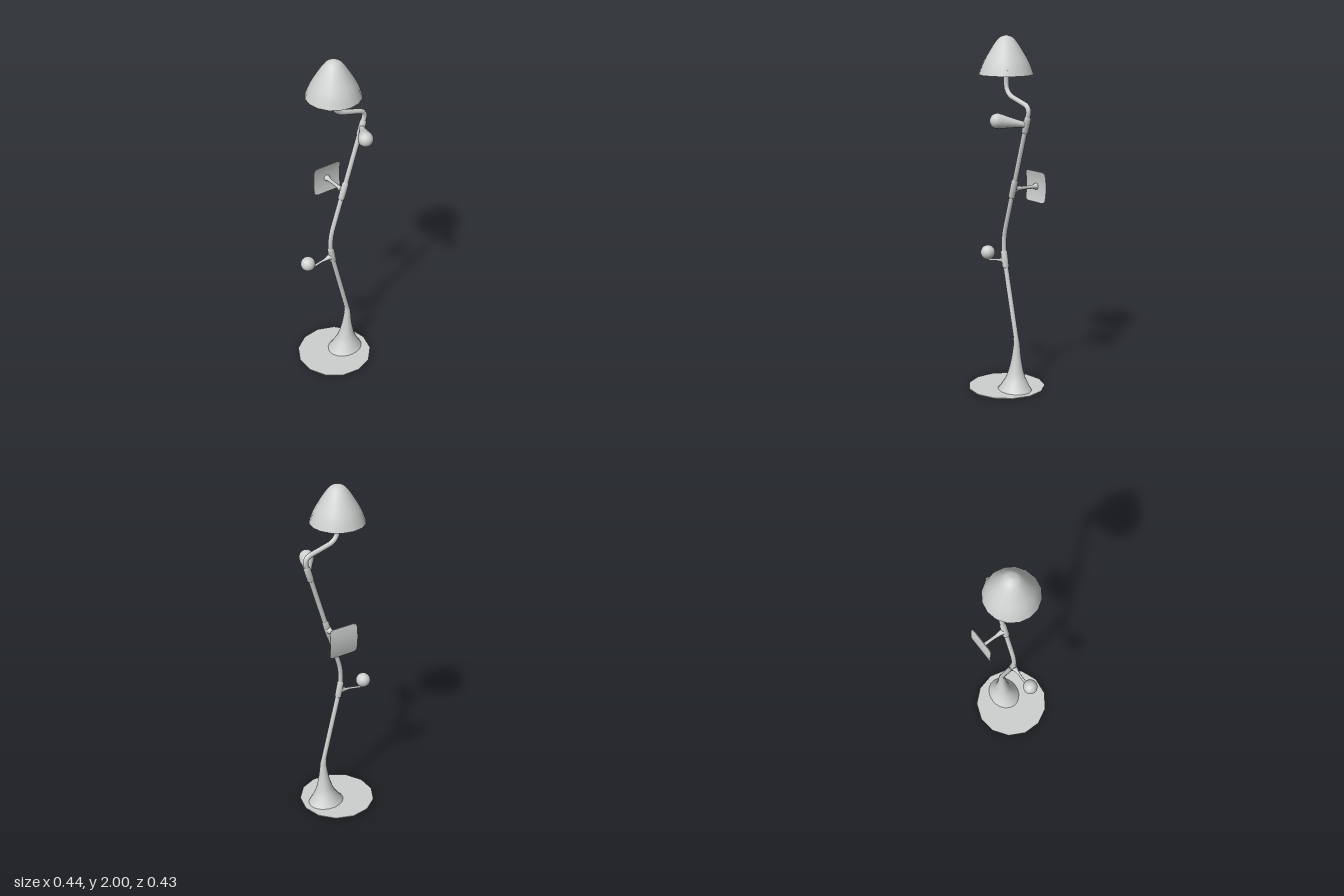
import * as THREE from 'three';

const V = (x, y, z = 0) => new THREE.Vector3(x, y, z);

export function createModel() {
  const root = new THREE.Group();
  const grey = new THREE.MeshStandardMaterial({ color: 0xcdd0cf });
  grey.name = 'lightGrey';
  grey.side = THREE.DoubleSide;

  const add = (name, geometry) => {
    const mesh = new THREE.Mesh(geometry, grey);
    mesh.name = name;
    root.add(mesh);
    return mesh;
  };
  // Turned part along the line from a to b; profile rows are [radius, distance from a]
  const turned = (name, a, b, profile, sides = 14) => {
    const mesh = add(name, new THREE.LatheGeometry(profile.map(p => new THREE.Vector2(...p)), sides));
    mesh.position.copy(a);
    mesh.quaternion.setFromUnitVectors(V(0, 1, 0), b.clone().sub(a).normalize());
    return mesh;
  };
  // Path of straight runs joined by bends; each bend is [start, corner, end]
  const bentPath = (start, bends, end) => {
    const path = new THREE.CurvePath();
    let at = start;
    for (const [a, c, b] of bends) {
      path.add(new THREE.LineCurve3(at, a));
      path.add(new THREE.QuadraticBezierCurve3(a, c, b));
      at = b;
    }
    path.add(new THREE.LineCurve3(at, end));
    return path;
  };

  // Flat base disc
  const disc = new THREE.CylinderGeometry(0.219, 0.219, 0.005, 13, 1, false, Math.PI / 2);
  add('baseDisc', disc).position.set(0.002, 0.0025, 0);

  // Flared foot: oval, leaning slightly as it rises
  const rows = [[0.108, 0.003], [0.082, 0.04], [0.053, 0.095], [0.032, 0.175], [0.021, 0.25], [0.016, 0.31]];
  const foot = new THREE.LatheGeometry(
    new THREE.SplineCurve(rows.map(r => new THREE.Vector2(...r))).getPoints(20), 20);
  const fp = foot.attributes.position;
  for (let i = 0; i < fp.count; i++) {
    const y = fp.getY(i);
    const t = Math.min(1, y / 0.28);
    fp.setX(i, fp.getX(i) + 0.077 + 0.021 * Math.sqrt(t) - 0.25 * Math.max(0, y - 0.28));
    fp.setZ(i, fp.getZ(i) * (0.83 + 0.17 * t));
  }
  // Keep the lathe's seam smooth by using its slightly adjusted normals
  foot.normalizeNormals();
  add('foot', foot);

  // Bent pole
  const pole = bentPath(V(0.1, 0.28), [
    [V(-0.012, 0.73), V(-0.038, 0.833), V(-0.006, 0.935)],
    [V(0.194, 1.575), V(0.212, 1.625), V(0.165, 1.637)],
    [V(0.055, 1.667), V(-0.001, 1.684), V(-0.001, 1.74)],
  ], V(-0.001, 1.85));
  add('pole', new THREE.TubeGeometry(pole, 100, 0.0145, 12));

  // Collars holding the attachments
  const collars = [
    [V(-0.005, 0.7), V(-0.024, 0.795)],
    [V(0.048, 1.11), V(0.079, 1.21)],
    [V(0.167, 1.485), V(0.194, 1.57)],
  ];
  for (const [a, b] of collars) {
    const n = a.distanceTo(b);
    turned('collar', a, b, [[0.0145, 0], [0.019, 0.004], [0.0195, n / 2], [0.019, n - 0.004], [0.0145, n]], 12);
  }

  // Lower ball on its thin arm
  const ball = add('lowerBall', new THREE.SphereGeometry(0.042, 18, 12));
  ball.position.set(-0.178, 0.755, 0);
  const arm = bentPath(V(-0.012, 0.745),
    [[V(-0.145, 0.718), V(-0.178, 0.71), V(-0.178, 0.725)]], V(-0.178, 0.75));
  add('lowerArm', new THREE.TubeGeometry(arm, 28, 0.007, 8));
  turned('lowerArmFlare', V(-0.012, 0.742), V(-0.11, 0.724), [[0.022, 0], [0.015, 0.025], [0.009, 0.05], [0.007, 0.07]], 10);

  // Plate, bowed toward the pole, with rounded corners
  const w = 0.175, r = 0.022;
  const plate = new THREE.BoxGeometry(w, w, 0.004, 8, 32, 1);
  const pp = plate.attributes.position;
  for (let i = 0; i < pp.count; i++) {
    const y = pp.getY(i);
    const d = Math.min(r, Math.max(0, Math.abs(y) - (w / 2 - r)));
    pp.setX(i, pp.getX(i) * (w / 2 - r + Math.sqrt(r * r - d * d)) / (w / 2));
    pp.setZ(i, pp.getZ(i) + 0.01 * (y / (w / 2)) ** 2);
  }
  plate.computeVertexNormals();
  add('plate', plate).position.set(0.0625, 1.158, -0.163);
  turned('plateStem', V(0.063, 1.16, -0.01), V(0.063, 1.158, -0.162),
    [[0.02, 0], [0.014, 0.02], [0.01, 0.05], [0.009, 0.09], [0.011, 0.125], [0.017, 0.145], [0.019, 0.152]], 12);

  // Upper club-shaped knob
  const club = [[0.016, 0], [0.017, 0.025], [0.023, 0.06], [0.032, 0.105], [0.04, 0.14]];
  for (let i = 0; i <= 6; i++) {
    const a = (i / 6) * Math.PI / 2;
    club.push([0.042 * Math.cos(a), 0.16 + 0.042 * Math.sin(a)]);
  }
  turned('upperKnob', V(0.182, 1.53, 0), V(0.105, 1.554, 0.143), club, 16);

  // Domed shade
  const dome = new THREE.SplineCurve([[0.152, 1.787], [0.13, 1.845], [0.1, 1.9], [0.065, 1.955],
    [0.036, 1.987], [0, 2]].map(p => new THREE.Vector2(...p))).getPoints(20);
  dome[dome.length - 1].x = 0;
  add('shade', new THREE.LatheGeometry(dome, 16)).position.x = -0.002;

  // Socket and spokes carrying the shade
  turned('socket', V(-0.001, 1.815), V(-0.001, 1.88), [[0.0145, 0], [0.02, 0.004], [0.02, 0.06], [0, 0.065]], 12);
  for (let i = 0; i < 3; i++) {
    const a = 2.7 + i * Math.PI * 2 / 3;
    turned('shadeSpoke', V(-0.001, 1.85), V(0.138 * Math.cos(a), 1.815, 0.138 * Math.sin(a)),
      [[0.005, 0], [0.005, 0.142]], 6);
  }
  return root;
}
